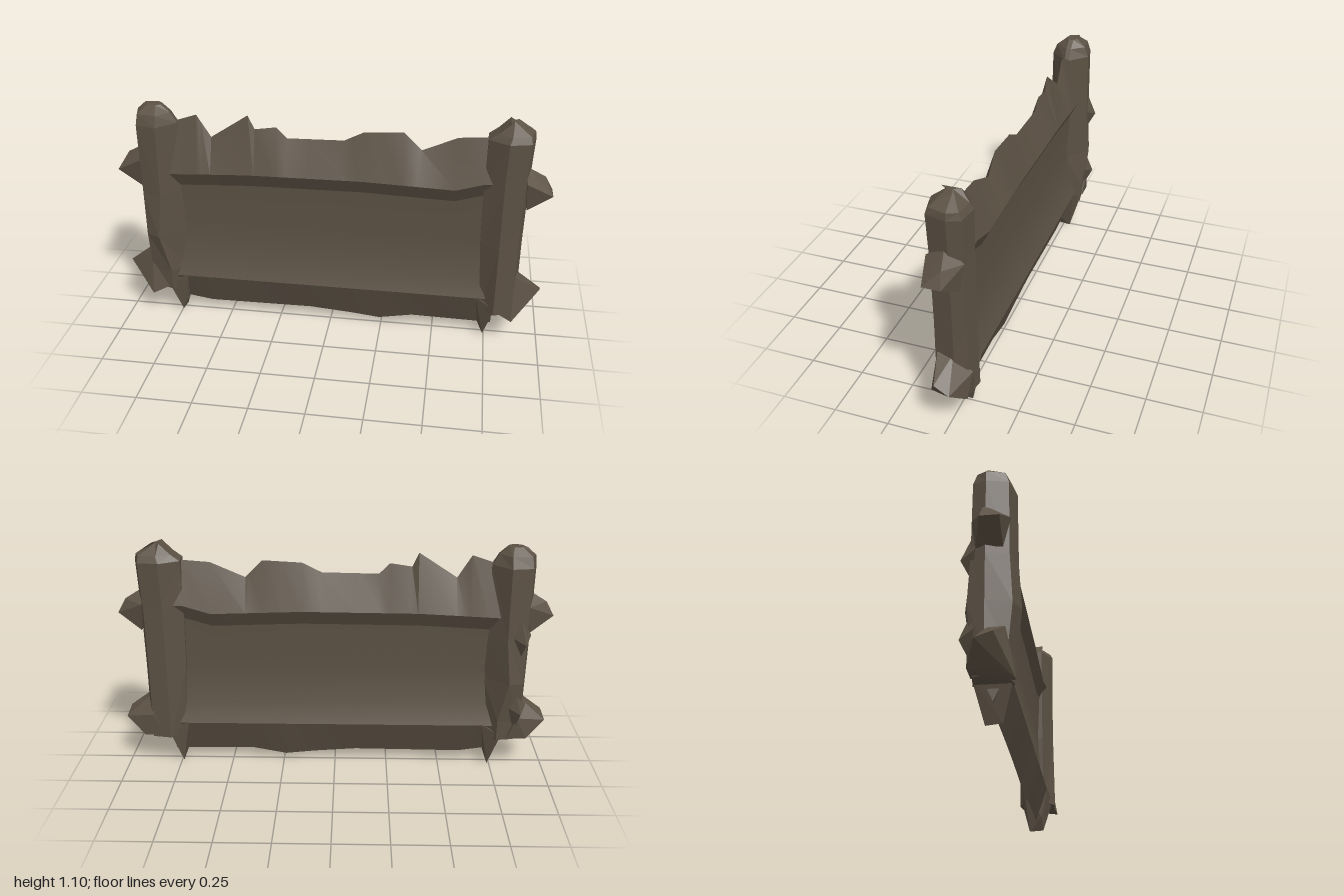
import * as THREE from 'three';
import { toCreasedNormals } from 'three/addons/utils/BufferGeometryUtils.js';
import { ConvexGeometry } from 'three/addons/geometries/ConvexGeometry.js';

// Skin a stack of equal-sized point rings and cap both ends with fans
function loft(rings, crease) {
  const n = rings[0].length;
  const pts = rings.flat();
  const idx = [];
  for (let r = 0; r < rings.length - 1; r++) {
    for (let i = 0; i < n; i++) {
      const a = r * n + i, b = r * n + (i + 1) % n;
      idx.push(a, b, b + n, a, b + n, a + n);
    }
  }
  [0, rings.length - 1].forEach((r, end) => {
    const c = new THREE.Vector3();
    rings[r].forEach((p) => c.addScaledVector(p, 1 / n));
    pts.push(c);
    for (let i = 0; i < n; i++) {
      const a = r * n + i, b = r * n + (i + 1) % n;
      idx.push(pts.length - 1, ...(end ? [a, b] : [b, a]));
    }
  });
  // turn the faces outward whichever way the rings run
  let volume = 0;
  const cross = new THREE.Vector3();
  for (let i = 0; i < idx.length; i += 3) {
    volume += pts[idx[i]].dot(cross.crossVectors(pts[idx[i + 1]], pts[idx[i + 2]]));
  }
  if (volume < 0) idx.reverse();
  const g = new THREE.BufferGeometry().setFromPoints(pts);
  g.setIndex(idx);
  return toCreasedNormals(g, crease);
}

// Straight-line reading of an outline [x, y] at x
function sample(line, x) {
  for (let i = 1; i < line.length; i++) {
    const [x0, y0] = line[i - 1], [x1, y1] = line[i];
    if (x <= x1) return y0 + (y1 - y0) * (x - x0) / (x1 - x0);
  }
  return line[line.length - 1][1];
}

const V = (x, y, z) => new THREE.Vector3(x, y, z);

export function createModel() {
  const model = new THREE.Group();
  const wood = new THREE.MeshStandardMaterial({ color: 0x5c5144 });
  wood.name = 'darkWood';
  const add = (name, geometry) => {
    const mesh = new THREE.Mesh(geometry, wood);
    mesh.name = name;
    model.add(mesh);
  };

  // Board: splintered top, wedge-shaped rails, hollowed middle on both faces
  const top = [[-0.78, 1.0], [-0.71, 1.01], [-0.62, 1.04], [-0.555, 0.935], [-0.38, 1.05],
    [-0.35, 0.985], [-0.25, 1.0], [-0.2, 0.95], [0.06, 0.955], [0.15, 1.0], [0.33, 1.01],
    [0.41, 0.93], [0.57, 1.0], [0.7, 1.01], [0.78, 1.02]];
  const bottom = [[-0.78, 0.08], [-0.7, 0.065], [-0.6, 0.05], [-0.1, 0.055], [0.1, 0.04],
    [0.24, 0.025], [0.4, 0.055], [0.78, 0.05]];
  const lip = [[-0.78, 0.76], [-0.4, 0.78], [0.15, 0.785], [0.6, 0.77], [0.7, 0.81], [0.78, 0.81]];
  const columns = [...new Set([...top, ...bottom].map((p) => p[0]))].sort((a, b) => a - b);
  const boardRings = columns.map((x) => {
    const l = sample(lip, x);
    const side = [[l, 0.062], [l - 0.07, 0.026], [0.5, 0.016], [0.32, 0.026], [0.215, 0.06]];
    return [
      V(x, sample(top, x), 0),
      ...side.map(([y, z]) => V(x, y, z)),
      V(x, sample(bottom, x), 0),
      ...side.reverse().map(([y, z]) => V(x, y, -z)),
    ];
  });
  add('board', loft(boardRings, 0.42));

  // Posts: rough hewn, rows are [y, inner x, ridge x, outer x, half depth]
  const post = (name, s, w, rows) => add(name, loft(rows.map(([y, inner, ridge, outer, d]) => [
    V(s * inner, y, w), V(s * ridge, y, d), V(s * (outer - 0.02), y, d * 0.75),
    V(s * outer, y, -0.02), V(s * (outer - 0.02), y, -d * 0.8),
    V(s * ridge, y, -d * 0.95), V(s * inner, y, -w),
  ]), 0.02));
  post('rightPost', -1, 0.012, [
    [0.15, 0.72, 0.77, 0.87, 0.085], [0.25, 0.71, 0.77, 0.89, 0.09], [0.45, 0.7, 0.81, 0.895, 0.115],
    [0.66, 0.695, 0.79, 0.9, 0.1], [1.0, 0.71, 0.79, 0.905, 0.095], [1.05, 0.74, 0.79, 0.9, 0.075],
    [1.085, 0.78, 0.8, 0.86, 0.03],
  ]);
  post('leftPost', 1, 0.04, [
    [0.15, 0.72, 0.785, 0.89, 0.095], [0.5, 0.7, 0.785, 0.89, 0.09], [0.8, 0.695, 0.785, 0.895, 0.09],
    [1.015, 0.7, 0.79, 0.905, 0.095], [1.045, 0.74, 0.8, 0.9, 0.08], [1.095, 0.79, 0.805, 0.825, 0.015],
  ]);

  // Knobs, spikes and chips broken out of the posts
  const names = { 1: 'left', [-1]: 'right' };
  for (const s of [1, -1]) {
    const chunk = (name, pts) => add(names[s] + name,
      new ConvexGeometry(pts.map(([x, y, z]) => V(s * x, y, z))));
    chunk('UpperKnob', [[0.88, 0.88, 0], [0.88, 0.83, 0.08], [0.88, 0.82, -0.08], [0.965, 0.83, -0.02],
      [1.0, 0.765, 0.05], [1.0, 0.765, -0.03], [0.89, 0.69, 0.05], [0.89, 0.69, -0.06]]);
    chunk('LowerKnob', [[0.87, 0.35, 0.06], [0.87, 0.35, -0.01], [0.86, 0.27, -0.09], [0.99, 0.27, 0.03],
      [1.0, 0.24, -0.04], [0.87, 0.125, 0.1], [0.91, 0.155, 0.04], [0.91, 0.16, -0.08],
      [0.82, 0.16, -0.08], [0.79, 0.16, 0.08]]);
    chunk('FootSpike', [[0.7, 0.22, 0.06], [0.7, 0.22, -0.06], [0.79, 0.17, 0.08], [0.79, 0.17, -0.08],
      [0.715, 0.07, 0.03], [0.745, 0.005, 0.035], [0.74, 0, -0.035]]);
  }
  const chip = (name, y, tip) => add(name, new ConvexGeometry([
    V(-0.84, y + 0.15, -0.07), V(-0.9, y + 0.03, -0.06), V(-0.8, y + 0.03, -0.08),
    V(-0.87, y, tip), V(-0.85, y - 0.1, -0.07),
  ]));
  chip('upperBackChip', 0.65, -0.122);
  chip('lowerBackChip', 0.3, -0.12);

  return model;
}
